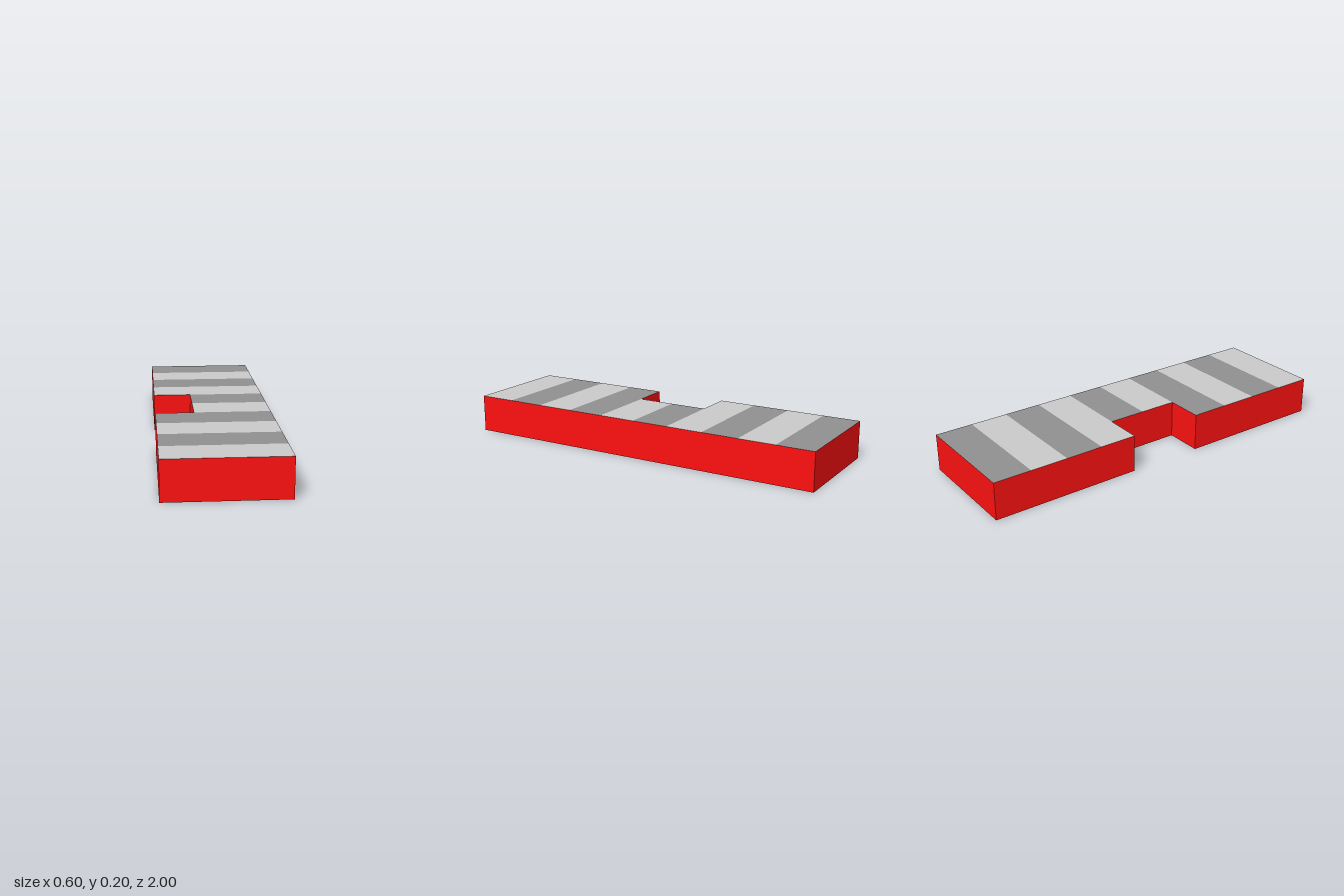
import * as THREE from 'three';

const HEIGHT = 0.2;
const STRIPE = 0.2;

const mat = (color) => new THREE.MeshStandardMaterial({ color, flatShading: true });

export function createModel() {
  const group = new THREE.Group();
  group.name = 'notchedBlock';
  const red = mat(0xff1111);
  const light = mat(0xcccccc);
  const dark = mat(0x919191);

  const add = (name, width, height, material) => {
    const mesh = new THREE.Mesh(new THREE.PlaneGeometry(width, height), material);
    mesh.name = name;
    group.add(mesh);
    return mesh;
  };

  // Red walls around the notched outline, as (x, z) corners
  const outline = [
    [-0.3, 1], [0.3, 1], [0.3, -1], [-0.3, -1],
    [-0.3, -0.2], [-0.1, -0.2], [-0.1, 0.2], [-0.3, 0.2],
  ];
  outline.forEach(([x, z], i) => {
    const [nx, nz] = outline[(i + 1) % outline.length];
    const dx = nx - x, dz = nz - z;
    const wall = add('sideWall', Math.hypot(dx, dz), HEIGHT, red);
    wall.position.set((x + nx) / 2, HEIGHT / 2, (z + nz) / 2);
    wall.rotation.y = Math.atan2(-dz, dx);
  });

  // Alternating stripes on top and bottom, shorter beside the notch
  for (let i = 0; i < 10; i++) {
    const z = -1 + (i + 0.5) * STRIPE;
    const left = Math.abs(z) < 0.2 ? -0.1 : -0.3;
    for (const top of [true, false]) {
      const stripe = add(top ? 'topStripe' : 'bottomStripe', 0.3 - left, STRIPE, i % 2 ? light : dark);
      stripe.rotation.x = top ? -Math.PI / 2 : Math.PI / 2;
      stripe.position.set((0.3 + left) / 2, top ? HEIGHT : 0, z);
    }
  }
  return group;
}
